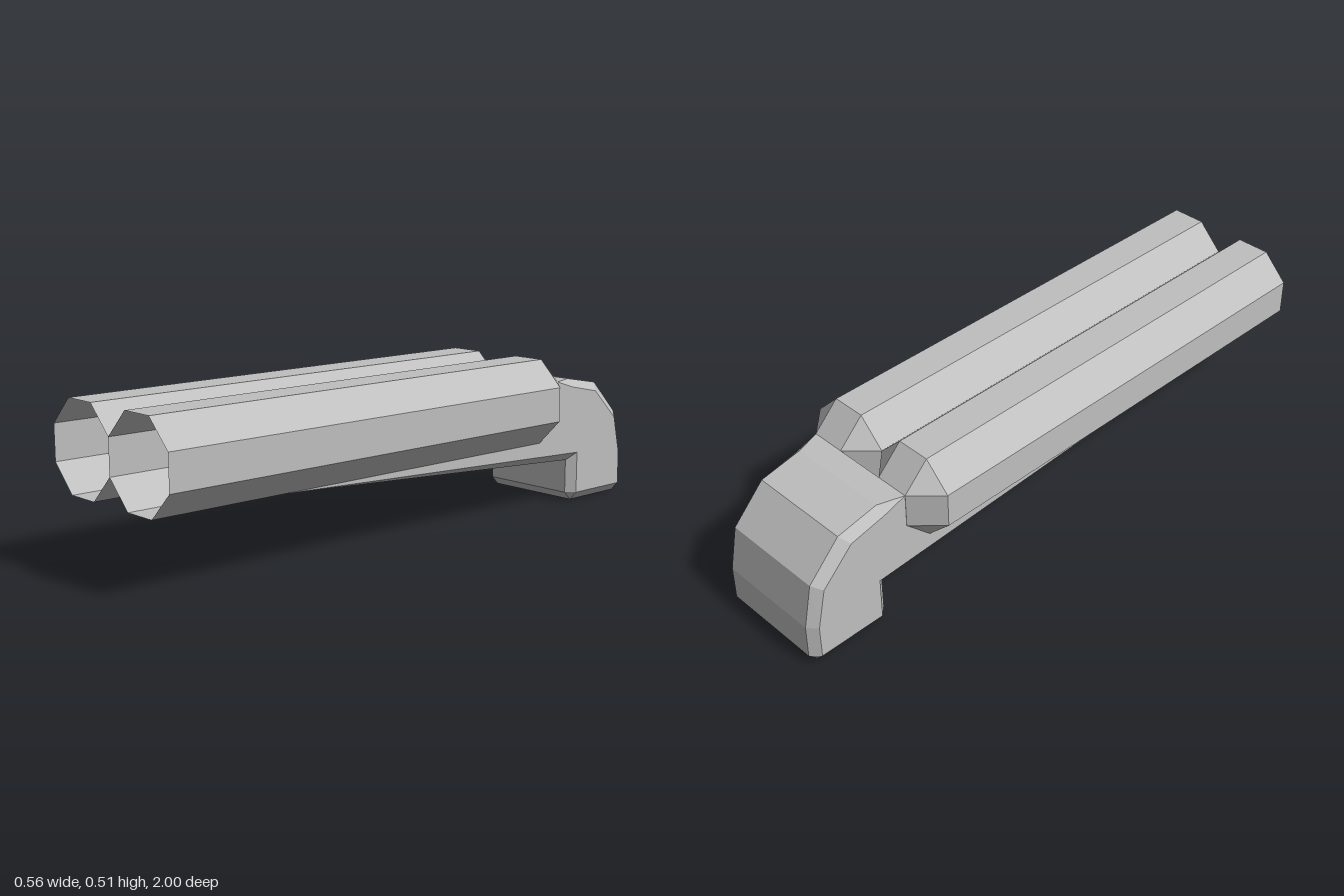
import * as THREE from 'three';

const grey = new THREE.MeshStandardMaterial({ color: 0xbfbfbf, side: THREE.DoubleSide });
grey.name = 'plain grey';

// Flat faceted mesh from polygons, each fanned from its first corner
function facetMesh(name, polygons) {
  const pos = [];
  const v = (p) => new THREE.Vector3(...p);
  for (const poly of polygons) {
    for (let i = 1; i < poly.length - 1; i++) {
      const tri = [poly[0], poly[i], poly[i + 1]];
      if (new THREE.Triangle(...tri.map(v)).getArea() > 1e-7) pos.push(...tri.flat());
    }
  }
  const geometry = new THREE.BufferGeometry();
  geometry.setAttribute('position', new THREE.Float32BufferAttribute(pos, 3));
  geometry.computeVertexNormals();
  const mesh = new THREE.Mesh(geometry, grey);
  mesh.name = name;
  return mesh;
}

// Eight-sided open tube whose rear end narrows to a square cap
function makeBarrel(name, x) {
  const R = 0.141, F = 0.0565, Y = 0.3685;
  const octagon = [[R, -F], [R, F], [F, R], [-F, R], [-R, F], [-R, -F], [-F, -R], [F, -R]];
  const square = octagon.map(([a, b]) => [Math.sign(a) * F, Math.sign(b) * F]);
  const ring = (points, z) => points.map(([a, b]) => [x + a, Y + b, z]);
  const rings = [ring(square, -0.635), ring(octagon, -0.55), ring(octagon, 1)];
  const faces = [];
  for (let r = 0; r < 2; r++) {
    for (let i = 0; i < 8; i++) {
      const j = (i + 1) % 8;
      faces.push([rings[r][i], rings[r][j], rings[r + 1][j], rings[r + 1][i]]);
    }
  }
  faces.push([rings[0][0], rings[0][6], rings[0][4], rings[0][2]]);
  return facetMesh(name, faces);
}

// Curved grip running forward into a tapering wedge under the barrels
function makeGrip() {
  const W = 0.197, N = 0.17;
  // outer edge of the bevel: x, y, z
  const outer = [
    [W, 0.227, 0.53], [N, 0.143, -0.718], [N, 0.029, -0.718], [N, 0, -0.746],
    [N, 0, -0.972], [N, 0.029, -1], [N, 0.143, -1], [N, 0.285, -0.97],
    [N, 0.398, -0.86], [N, 0.425, -0.718], [W, 0.425, -0.635],
  ];
  // inner edge of the bevel, bounding the flat side
  const inner = [
    [W, 0.227, 0.53], [W, 0.17, -0.746], [W, 0.029, -0.746], [W, 0.029, -0.746],
    [W, 0.029, -0.972], [W, 0.029, -0.972], [W, 0.14, -0.972], [W, 0.268, -0.943],
    [W, 0.373, -0.836], [W, 0.4, -0.713], [W, 0.425, -0.635],
  ];
  const mirror = ([x, y, z]) => [-x, y, z];
  const faces = [];
  const addBoth = (poly) => faces.push(poly, poly.map(mirror).reverse());
  for (let i = 0; i < outer.length - 1; i++) {
    const a = outer[i], b = outer[i + 1];
    faces.push([mirror(a), mirror(b), b, a]);
    addBoth([a, b, inner[i + 1], inner[i]]);
  }
  // flat sides, fanned from the inside corner of the grip
  const side = [...inner.slice(1), [W, 0.312, -0.55], inner[0]];
  for (let i = 1; i < side.length - 1; i++) addBoth([side[0], side[i], side[i + 1]]);
  return facetMesh('grip', faces);
}

export function createModel() {
  const model = new THREE.Group();
  model.name = 'doubleBarrelModel';
  model.add(makeBarrel('leftBarrel', 0.141), makeBarrel('rightBarrel', -0.141), makeGrip());
  return model;
}
